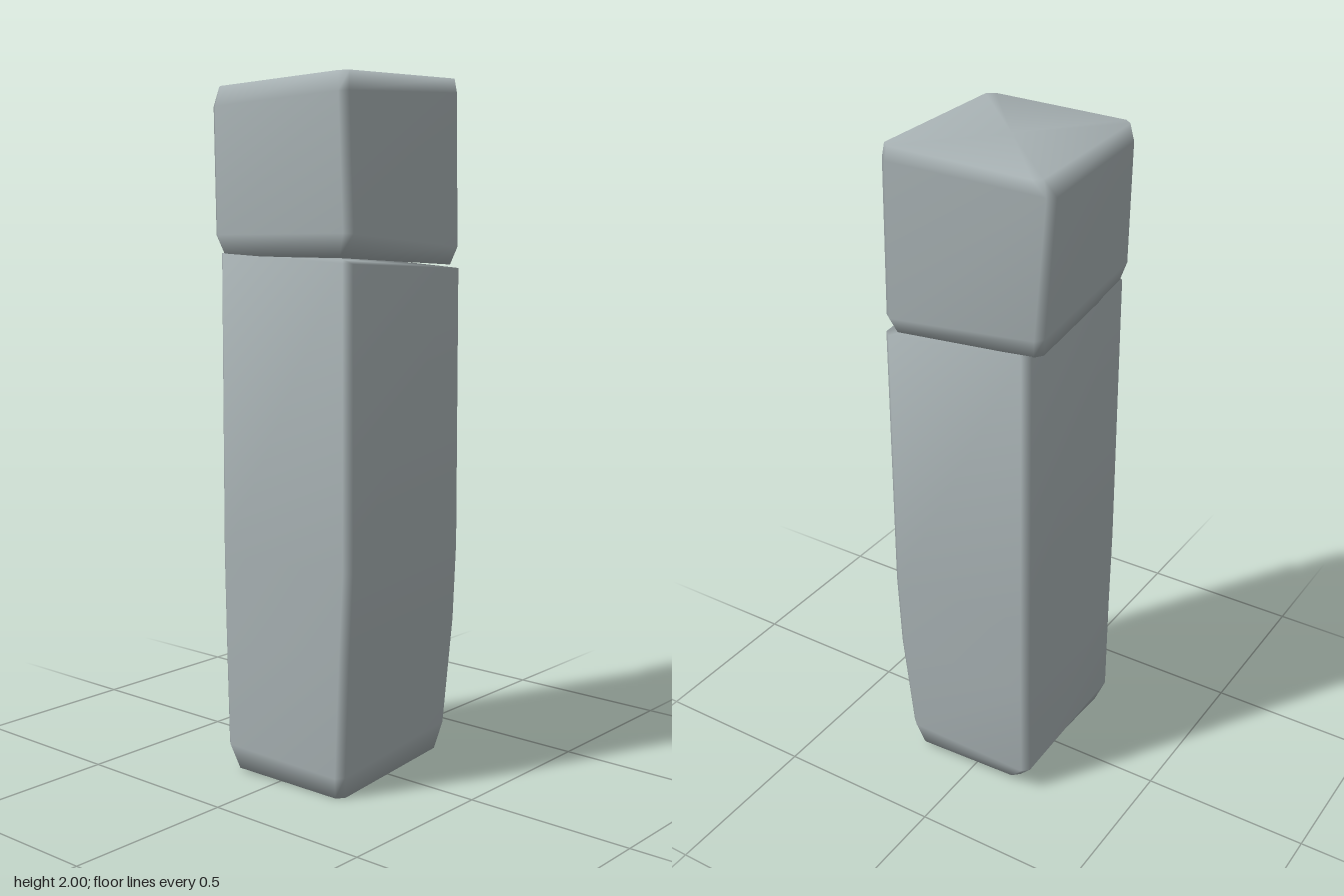
import * as THREE from 'three';

const BEVEL = 0.02;

// Skins four-cornered rings (front left, front right, back right, back left),
// cutting each corner with a small bevel and closing both ends.
function block(rings, material, name) {
  const points = [];
  const index = [];
  const n = 8;

  rings.forEach((ring) => {
    const corners = ring.map((c) => new THREE.Vector3(...c));
    corners.forEach((c, i) => {
      for (const other of [corners[(i + 3) % 4], corners[(i + 1) % 4]]) {
        const along = other.clone().sub(c).setLength(BEVEL);
        points.push(c.clone().add(along));
      }
    });
  });

  // Walls
  for (let r = 0; r < rings.length - 1; r++) {
    for (let i = 0; i < n; i++) {
      const a = r * n + i;
      const b = r * n + ((i + 1) % n);
      index.push(a, b, b + n, a, b + n, a + n);
    }
  }

  // End caps
  [0, rings.length - 1].forEach((r) => {
    const start = r * n;
    const centre = new THREE.Vector3();
    for (let i = 0; i < n; i++) centre.addScaledVector(points[start + i], 1 / n);
    const c = points.push(centre) - 1;
    for (let i = 0; i < n; i++) {
      const a = start + i;
      const b = start + ((i + 1) % n);
      if (r === 0) index.push(c, b, a);
      else index.push(c, a, b);
    }
  });

  const geometry = new THREE.BufferGeometry().setFromPoints(points);
  geometry.setIndex(index);
  geometry.computeVertexNormals();
  const mesh = new THREE.Mesh(geometry, material);
  mesh.name = name;
  return mesh;
}

export function createModel() {
  const stone = new THREE.MeshStandardMaterial({ color: 0xa9b3b5 });
  stone.name = 'grey stone';

  const model = new THREE.Group();
  model.name = 'stonePillar';

  // Tall shaft, worn in towards its foot
  model.add(block([
    [[-0.165, 0.01, 0.262], [0.225, 0, 0.24], [0.2, 0.02, -0.24], [-0.155, 0.02, -0.225]],
    [[-0.192, 0.08, 0.275], [0.23, 0.06, 0.248], [0.215, 0.1, -0.262], [-0.205, 0.08, -0.25]],
    [[-0.187, 0.4, 0.288], [0.25, 0.4, 0.255], [0.233, 0.42, -0.283], [-0.207, 0.4, -0.258]],
    [[-0.19, 0.65, 0.29], [0.264, 0.65, 0.255], [0.24, 0.65, -0.287], [-0.208, 0.65, -0.26]],
    [[-0.19, 1.51, 0.288], [0.261, 1.49, 0.253], [0.235, 1.46, -0.289], [-0.207, 1.49, -0.26]],
  ], stone, 'shaft'));

  // Slightly twisted and tilted capstone
  model.add(block([
    [[-0.18, 1.5, 0.282], [0.24, 1.51, 0.238], [0.215, 1.47, -0.275], [-0.23, 1.49, -0.235]],
    [[-0.195, 1.56, 0.303], [0.256, 1.57, 0.244], [0.22, 1.52, -0.303], [-0.236, 1.54, -0.243]],
    [[-0.2, 1.91, 0.303], [0.236, 1.94, 0.24], [0.212, 1.96, -0.304], [-0.266, 1.93, -0.24]],
    [[-0.198, 1.965, 0.284], [0.215, 1.995, 0.215], [0.205, 2, -0.302], [-0.228, 1.97, -0.243]],
  ], stone, 'capstone'));

  return model;
}
